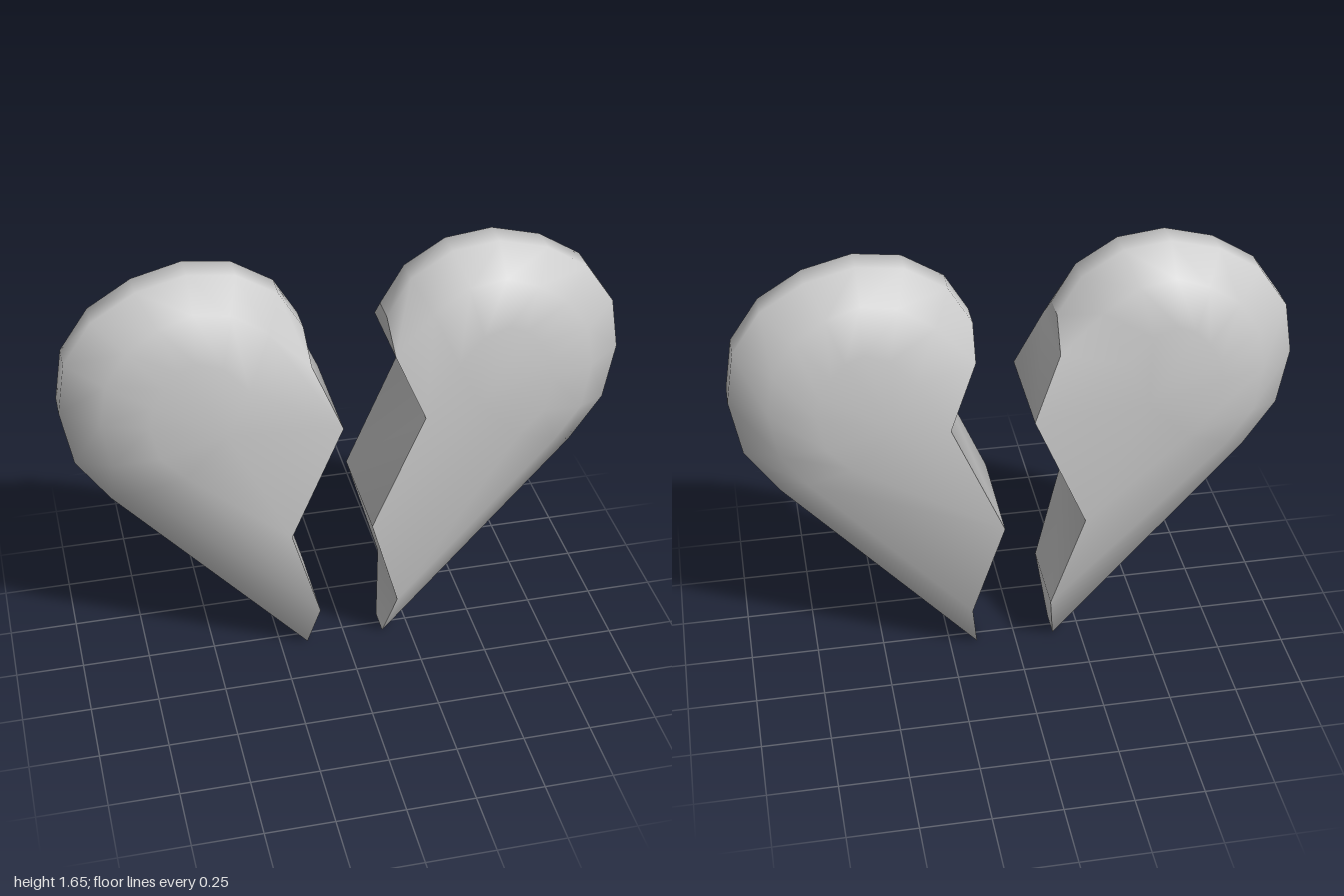
import * as THREE from 'three';

const GAP = 0.147; // each half is pushed this far from the break line

// Contours of one half, from the lower end of the break round to its upper end.
// x is measured from the break line; the first and last points lie on the break itself.
const OUTER = [[0, 0], [0.7, 0.79], [0.815, 0.96], [0.853, 1.17], [0.823, 1.36], [0.72, 1.51],
  [0.567, 1.605], [0.393, 1.65], [0.228, 1.63], [0.083, 1.54], [0, 1.4]];
const MIDDLE = [[0.03, 0.23], [0.605, 0.87], [0.695, 1.0], [0.723, 1.17], [0.698, 1.32], [0.62, 1.44],
  [0.51, 1.515], [0.393, 1.555], [0.265, 1.535], [0.14, 1.45], [0.007, 1.3]];
const INNER = [[-0.083, 0.63], [0.45, 0.95], [0.535, 1.04], [0.563, 1.17], [0.548, 1.25], [0.505, 1.32],
  [0.455, 1.375], [0.393, 1.4], [0.305, 1.37], [0.22, 1.27], [0.105, 1.07]];
const LAYERS = [[INNER, -0.21], [MIDDLE, -0.155], [OUTER, -0.05], [OUTER, 0.05], [MIDDLE, 0.155], [INNER, 0.21]];
const N = OUTER.length;

function build(points, triangles, flip) {
  const index = [];
  for (const [a, b, c] of triangles) index.push(...(flip ? [a, c, b] : [a, b, c]));
  const geometry = new THREE.BufferGeometry();
  geometry.setAttribute('position', new THREE.Float32BufferAttribute(points.flat(), 3));
  geometry.setIndex(index);
  geometry.computeVertexNormals();
  return geometry;
}

const quad = (a, b, c, d) => [[a, b, c], [a, c, d]];

function createHalf(side, material) {
  // The lobe is mirrored, but both halves share the same zigzag break
  const place = (ring, i, z) => {
    const [x, y] = ring[i];
    const onBreak = i === 0 || i === N - 1;
    return [onBreak ? side * GAP + x : side * (GAP + x), y, z];
  };

  // Rounded shell: contour layers from back to front, closed by two flat faces
  const shell = [], shellFaces = [];
  for (const [ring, z] of LAYERS) for (let i = 0; i < N; i++) shell.push(place(ring, i, z));
  for (let j = 0; j < LAYERS.length - 1; j++) {
    for (let i = 0; i < N - 1; i++) {
      const a = j * N + i;
      shellFaces.push(...quad(a, a + 1, a + 1 + N, a + N));
    }
  }
  const back = shell.length, front = back + 1, last = (LAYERS.length - 1) * N;
  for (const z of [-0.21, 0.21]) shell.push([side * (GAP + 0.3), 1.1, z]);
  for (let i = 0; i < N; i++) {
    const k = (i + 1) % N;
    shellFaces.push([back, k, i], [front, last + i, last + k]);
  }

  // Jagged wall along the break
  const wall = [], wallFaces = [];
  const edge = [[OUTER, 0, 0.05], [MIDDLE, 0, 0.155], [INNER, 0, 0.21],
    [INNER, N - 1, 0.21], [MIDDLE, N - 1, 0.155], [OUTER, N - 1, 0.05]];
  for (const [ring, i, z] of edge) wall.push(place(ring, i, -z), place(ring, i, z));
  for (let k = 0; k < edge.length - 1; k++) {
    const a = k * 2;
    wallFaces.push(...quad(a, a + 1, a + 3, a + 2));
  }

  const half = new THREE.Group();
  const name = side > 0 ? 'left' : 'right';
  half.name = name + 'HeartHalf';
  const shellMesh = new THREE.Mesh(build(shell, shellFaces, side < 0), material);
  shellMesh.name = name + 'Shell';
  const wallMesh = new THREE.Mesh(build(wall, wallFaces, side < 0), material);
  wallMesh.name = name + 'BreakWall';
  half.add(shellMesh, wallMesh);
  return half;
}

export function createModel() {
  const model = new THREE.Group();
  model.name = 'brokenHeart';
  const material = new THREE.MeshStandardMaterial({ color: 0xcccccc });
  for (const side of [1, -1]) model.add(createHalf(side, material));
  return model;
}
